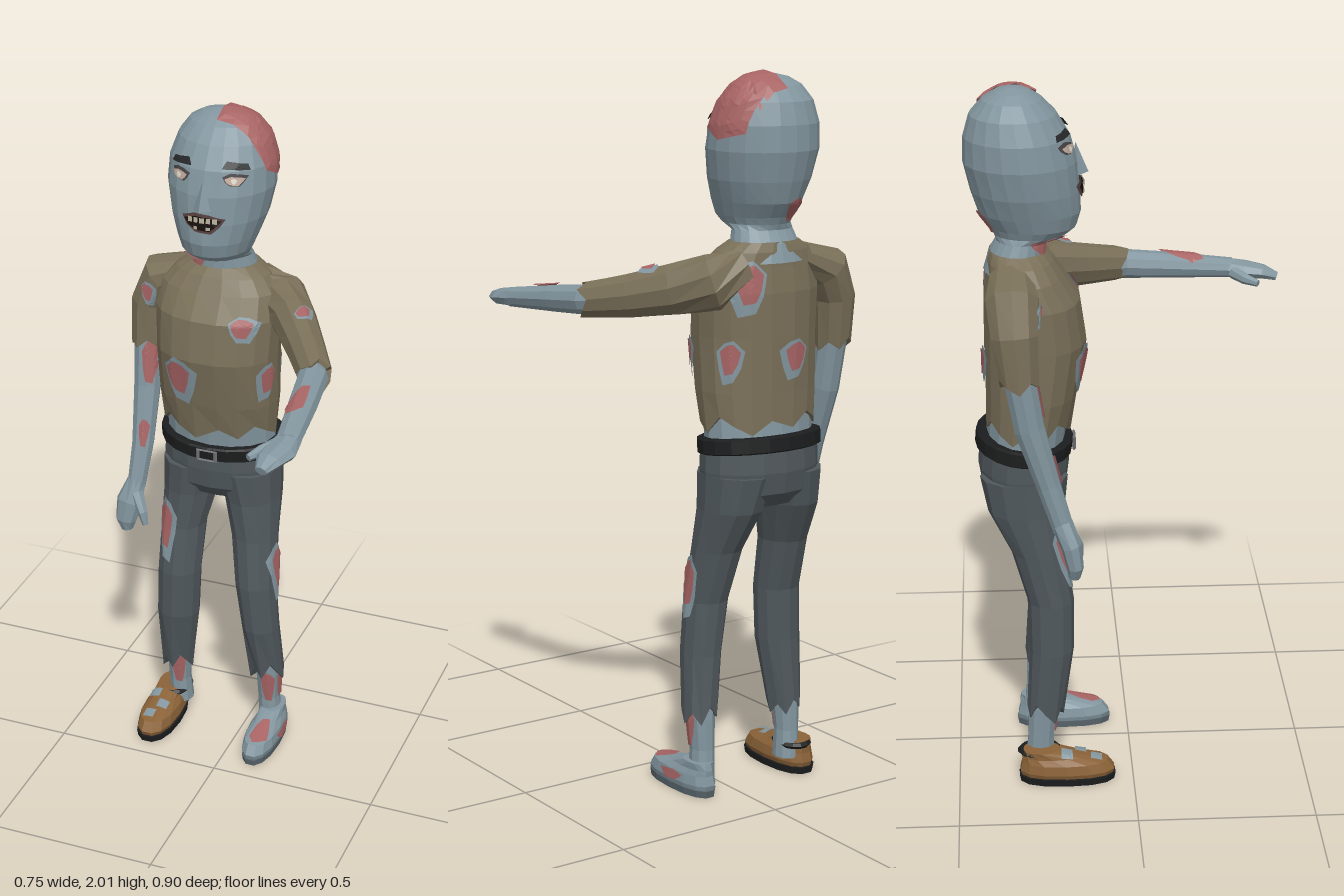
import * as THREE from 'three';

const SKIN = 0x83969f, SHIRT = 0x7a7059, PANTS = 0x50585c, BLACK = 0x1c1d1e, RED = 0xa86464, SHOE = 0x8a6238;
const V = (x, y, z) => new THREE.Vector3(x, y, z);
const group = (name, ...kids) => { const g = new THREE.Group(); g.name = name; g.add(...kids); return g; };

function mesh(name, color, geometry) {
  const m = new THREE.Mesh(geometry, new THREE.MeshStandardMaterial({ color, flatShading: true, side: THREE.DoubleSide }));
  m.name = name;
  return m;
}

function fromTriangles(points, index) {
  const g = new THREE.BufferGeometry().setFromPoints(points);
  g.setIndex(index);
  const flat = g.toNonIndexed();
  flat.computeVertexNormals();
  return flat;
}

// Skin over elliptical rings [x, y, z, halfWidth, halfDepth].
// bend: rings follow the path; rag: ragged hem on the first (1) or last (-1) ring.
function loft(name, color, rings, { n = 12, bend = false, rag = 0, end = 1, power = 1 } = {}) {
  const pts = [], idx = [], c = rings.map(r => V(r[0], r[1], r[2]));
  const last = rings.length - 1;
  rings.forEach((r, i) => {
    const T = bend ? c[Math.min(i + 1, last)].clone().sub(c[Math.max(i - 1, 0)]).normalize() : V(0, 1, 0);
    const D = V(1, 0, 0).cross(T).normalize(), S = T.clone().cross(D);
    const ragged = i === (end > 0 ? 0 : last) ? rag : 0;
    for (let j = 0; j < n; j++) {
      const t = j / n * Math.PI * 2, co = Math.cos(t), si = Math.sin(t);
      const sup = v => Math.sign(v) * Math.abs(v) ** power;
      pts.push(c[i].clone().addScaledVector(S, r[3] * sup(co)).addScaledVector(D, r[4] * sup(si))
        .addScaledVector(T, ragged * ((j * 7 % 5) / 2 - 1)));
    }
  });
  for (let i = 0; i < last; i++) for (let j = 0; j < n; j++) {
    const k = (j + 1) % n, a = i * n + j, b = i * n + k;
    idx.push(a, a + n, b + n, a, b + n, b);
  }
  pts.push(c[0], c[last]);
  for (let j = 0; j < n; j++) {
    const k = (j + 1) % n;
    idx.push(pts.length - 2, j, k, pts.length - 1, last * n + k, last * n + j);
  }
  return mesh(name, color, fromTriangles(pts, idx));
}

// Projection directions: outline (a, b) -> ray start, ray direction
const VIEWS = {
  front: [(a, b) => V(a, b, 3), V(0, 0, -1)], back: [(a, b) => V(a, b, -3), V(0, 0, 1)],
  left: [(a, b) => V(3, b, a), V(-1, 0, 0)], right: [(a, b) => V(-3, b, a), V(1, 0, 0)],
  top: [(a, b) => V(a, 3, b), V(0, -1, 0)],
};

// Thin patch of an outline laid on the surface of a mesh
function decal(name, color, target, view, outline, lift = 0.003) {
  const [start, dir] = VIEWS[view], ray = new THREE.Raycaster();
  const edge = [], cx = outline.reduce((s, p) => s + p[0], 0) / outline.length, cy = outline.reduce((s, p) => s + p[1], 0) / outline.length;
  outline.forEach((p, i) => {
    const q = outline[(i + 1) % outline.length];
    for (let k = 0; k < 3; k++) edge.push([p[0] + (q[0] - p[0]) * k / 3, p[1] + (q[1] - p[1]) * k / 3]);
  });
  const R = 4, n = edge.length, pts = [], hit = [], idx = [];
  for (let r = 0; r <= R; r++) for (const [a, b] of edge) {
    ray.set(start(cx + (a - cx) * r / R, cy + (b - cy) * r / R), dir);
    const h = ray.intersectObject(target)[0];
    hit.push(!!h);
    pts.push(h ? h.point.clone().addScaledVector(dir, -lift).addScaledVector(h.face.normal, h.face.normal.dot(dir) < 0 ? lift : -lift) : V(0, 0, 0));
  }
  const tri = (a, b, c) => {
    if (!(hit[a] && hit[b] && hit[c])) return;
    const nrm = pts[b].clone().sub(pts[a]).cross(pts[c].clone().sub(pts[a]));
    nrm.dot(dir) < 0 ? idx.push(a, b, c) : idx.push(a, c, b);
  };
  for (let r = 0; r < R; r++) for (let j = 0; j < n; j++) {
    const k = (j + 1) % n, a = r * n + j, b = r * n + k;
    if (r > 0) tri(a, b, b + n);
    tri(a, a + n, b + n);
  }
  return mesh(name, color, fromTriangles(pts, idx));
}

const rect = (x0, x1, y0, y1) => [[x0, y0], [x1, y0], [x1, y1], [x0, y1]];
const blob = (x, y, rx, ry) => Array.from({ length: 8 }, (_, i) => {
  const t = (i + 0.5) / 8 * Math.PI * 2, k = 1.08 - 0.13 * (i * 5 % 3);
  return [x + rx * k * Math.cos(t), y + ry * k * Math.sin(t)];
});

export function createModel() {
  const model = new THREE.Group();
  const wound = (target, view, x, y, rx, ry, torn = true) => {
    if (torn) model.add(decal('tornHole', SKIN, target, view, blob(x, y, rx, ry)));
    const s = torn ? 0.7 : 1;
    model.add(decal('wound', RED, target, view, blob(x - rx * 0.1, y + ry * 0.12, rx * s, ry * s), torn ? 0.005 : 0.003));
  };

  // Head and neck: [y, half width, front z, back z]
  const head = loft('head', SKIN, [
    [1.50, .13, -.21, -.40], [1.55, .10, -.23, -.385], [1.585, .09, -.23, -.365], [1.60, .09, -.17, -.37],
    [1.62, .10, -.145, -.38], [1.66, .115, -.133, -.41], [1.72, .137, -.135, -.43], [1.80, .153, -.142, -.449],
    [1.87, .15, -.16, -.447], [1.93, .13, -.195, -.43], [1.97, .10, -.235, -.395], [1.99, .065, -.265, -.36], [2, .02, -.3, -.33],
  ].map(([y, a, f, b]) => [-.09, y, (f + b) / 2, a, (f - b) / 2]), { n: 20 });
  model.add(head);
  const face = group('face');
  for (const s of [-1, 1]) {
    const x = -.087 + s * .077;
    face.add(decal('eyelid', 0x4a4648, head, 'front', blob(x, 1.85, .031, .019), .002));
    face.add(decal('eye', 0xc4ac9e, head, 'front', blob(x, 1.848, .025, .013), .005));
    face.add(decal('pupil', 0xe0dcd0, head, 'front', blob(x, 1.848, .008, .008), .007));
    face.add(decal('eyebrow', 0x26282a, head, 'front',
      [[x - s * .034, 1.878], [x + s * .034, 1.872], [x + s * .025, 1.888], [x - s * .025, 1.897]], .005));
  }
  const nose = mesh('nose', SKIN, new THREE.ConeGeometry(.026, .085, 4));
  nose.position.set(-.09, 1.805, -.142);
  nose.rotation.x = -.1;
  face.add(nose);
  face.add(decal('lips', 0x57403f, head, 'front', blob(-.088, 1.728, .062, .031)));
  face.add(decal('mouth', 0x17100f, head, 'front', blob(-.088, 1.728, .052, .022), .005));
  for (let i = 0; i < 5; i++) {
    const x = -.126 + i * .017;
    face.add(decal('upperTooth', 0xb9b09c, head, 'front', rect(x, x + .012, 1.73, 1.745), .007));
    if (i % 2) face.add(decal('lowerTooth', 0xb9b09c, head, 'front', rect(x, x + .012, 1.711, 1.72), .007));
  }
  model.add(face);
  model.add(decal('scalpWoundTop', RED, head, 'top', rect(-.09, .045, -.405, -.25), .004));
  model.add(decal('scalpWoundSide', RED, head, 'left', [[-.25, 1.86], [-.31, 1.83], [-.39, 1.85], [-.40, 1.94], [-.33, 1.975], [-.25, 1.96]], .004));
  wound(head, 'front', -.14, 1.578, .035, .03, false);
  wound(head, 'back', -.12, 1.64, .03, .035, false);

  // Torso, shirt, belt
  const z0 = -.297;
  model.add(loft('waist', SKIN, [[-.087, .97, z0, .165, .11], [-.088, 1.15, -.278, .166, .112]], { n: 16 }));
  const shirt = loft('shirt', SHIRT, [
    [-.088, 1.06, -.285, .17, .118], [-.088, 1.15, -.275, .178, .127], [-.088, 1.3, -.262, .18, .142],
    [-.088, 1.42, -.27, .185, .133], [-.088, 1.49, -.288, .175, .105], [-.088, 1.53, -.3, .14, .09], [-.088, 1.555, -.308, .1, .075],
  ], { n: 18, rag: .025, power: .9 });
  model.add(shirt);
  wound(shirt, 'front', .025, 1.41, .042, .04);
  wound(shirt, 'front', -.155, 1.235, .055, .08);
  wound(shirt, 'left', -.205, 1.24, .032, .065);
  wound(shirt, 'left', -.352, 1.24, .027, .065);
  wound(shirt, 'back', .02, 1.44, .055, .08);
  wound(shirt, 'back', -.12, 1.24, .05, .06);
  const belt = loft('belt', BLACK, [[0, -.022, 0, .182, .13], [0, -.018, 0, .188, .136], [0, .018, 0, .188, .136], [0, .022, 0, .18, .13]], { n: 20 });
  belt.position.set(-.086, 1, z0);
  belt.rotation.x = .09;
  const buckle = mesh('buckle', 0x6d7072, new THREE.TorusGeometry(.024, .005, 4, 4, Math.PI * 2).rotateZ(Math.PI / 4));
  buckle.scale.set(1.6, .9, 1);
  buckle.position.set(-.086, .988, -.158);
  model.add(belt, buckle);

  // Trousers
  model.add(loft('trouserSeat', PANTS, [[-.085, .83, -.297, .16, .085], [-.085, .87, -.298, .176, .118], [-.085, .93, -.299, .181, .127], [-.086, 1, z0, .178, .125]], { n: 16 }));
  const rightLeg = loft('rightTrouserLeg', PANTS, [
    [-.215, .21, -.25, .047, .052], [-.205, .4, -.23, .065, .063], [-.2, .55, -.23, .066, .065],
    [-.197, .7, -.262, .068, .076], [-.182, .82, -.295, .082, .106], [-.17, .92, -.3, .095, .122]], { rag: .03 });
  const leftLeg = loft('leftTrouserLeg', PANTS, [
    [.078, .24, -.25, .052, .052], [.062, .4, -.23, .056, .063], [.045, .55, -.23, .062, .065],
    [.03, .7, -.262, .07, .076], [.012, .82, -.295, .084, .106], [-.005, .92, -.3, .1, .122]], { rag: .035 });
  model.add(rightLeg, leftLeg);
  wound(rightLeg, 'front', -.222, .7, .032, .11);
  wound(leftLeg, 'left', -.235, .6, .035, .1);

  // Shins and feet
  for (const [side, x, top] of [['right', -.215, -.21], ['left', .08, .066]]) {
    const shin = loft(side + 'Shin', SKIN, [[x + .005, .05, -.268, .035, .042], [x, .13, -.264, .033, .038], [x, .22, -.258, .038, .042], [top, .38, -.24, .045, .045]], { n: 10 });
    model.add(shin);
    wound(shin, 'front', x + .012, .18, .02, .06, false);
    if (side === 'left') wound(shin, 'left', -.255, .19, .022, .06, false);
  }
  const foot = (name, color, x, w, y) => loft(name, color, [
    [x, y, -.19, w * .9, .132], [x, .035, -.19, w, .138], [x, .062, -.197, w * .92, .125], [x, .078, -.232, w * .72, .09], [x, .098, -.266, w * .68, .05]], { n: 14, power: .85 });
  const shoe = foot('rightShoe', SHOE, -.245, .058, .018), bare = foot('leftFoot', SKIN, .095, .051, .015);
  const sole = (name, color, x, w) => loft(name, color, [[x, .002, -.19, w, .137], [x, .022, -.19, w * 1.04, .141]], { n: 14, power: .85 });
  model.add(shoe, bare, sole('rightSole', BLACK, -.245, .058), sole('leftSole', 0x59666d, .095, .047));
  const collar = mesh('shoeCollar', BLACK, new THREE.TorusGeometry(.043, .009, 5, 14).rotateX(Math.PI / 2));
  collar.scale.z = 1.25;
  collar.position.set(-.232, .088, -.268);
  model.add(collar);
  for (const [x, z] of [[-.268, -.19], [-.23, -.15], [-.255, -.105]])
    model.add(decal('shoeHole', SKIN, shoe, 'top', rect(x - .016, x + .016, z - .018, z + .014)));
  wound(bare, 'top', .105, -.135, .027, .055, false);
  wound(bare, 'left', -.2, .048, .05, .015, false);

  // Hanging right arm
  const rightSleeve = loft('rightSleeve', SHIRT, [[-.328, 1.25, -.31, .049, .055], [-.322, 1.38, -.32, .056, .066], [-.285, 1.465, -.325, .065, .074], [-.19, 1.505, -.325, .04, .06]], { n: 10, bend: true, rag: .02 });
  const rightArm = loft('rightForearm', SKIN, [[-.325, .82, -.195, .027, .03], [-.318, .95, -.235, .033, .034], [-.322, 1.12, -.285, .04, .043], [-.328, 1.3, -.315, .042, .045]], { n: 10, bend: true });
  model.add(rightSleeve, rightArm, group('rightHand',
    loft('rightPalm', SKIN, [[-.345, .685, -.168, .018, .016], [-.348, .715, -.165, .032, .023], [-.338, .775, -.175, .042, .029], [-.325, .84, -.2, .028, .03]], { n: 8, bend: true }),
    loft('rightThumb', SKIN, [[-.278, .72, -.15, .009, .01], [-.288, .755, -.155, .015, .016], [-.318, .805, -.18, .022, .022]], { n: 7, bend: true })));
  wound(rightArm, 'front', -.302, 1.2, .022, .07, false);
  wound(rightArm, 'front', -.305, .99, .014, .045, false);
  wound(rightSleeve, 'front', -.3, 1.43, .025, .04);

  // Raised left arm
  const leftSleeve = loft('leftSleeve', SHIRT, [[.0, 1.485, -.335, .06, .06], [.085, 1.452, -.315, .075, .078], [.15, 1.43, -.235, .064, .072], [.22, 1.405, -.13, .056, .062], [.29, 1.385, -.015, .05, .05]], { n: 10, bend: true, rag: .02, end: -1 });
  const leftArm = loft('leftForearm', SKIN, [[.25, 1.39, -.08, .042, .042], [.288, 1.383, .0, .043, .042], [.305, 1.372, .12, .041, .038], [.33, 1.352, .32, .034, .028]], { n: 10, bend: true });
  model.add(leftSleeve, leftArm, group('leftHand',
    loft('leftPalm', SKIN, [[.33, 1.354, .3, .034, .028], [.325, 1.347, .36, .046, .025], [.312, 1.343, .41, .038, .02], [.305, 1.33, .45, .018, .013]], { n: 8, bend: true }),
    loft('leftThumb', SKIN, [[.305, 1.345, .325, .022, .02], [.27, 1.335, .355, .016, .016], [.247, 1.328, .39, .01, .01]], { n: 7, bend: true })));
  wound(leftSleeve, 'top', .198, -.18, .026, .036);
  wound(leftArm, 'top', .308, .165, .024, .07, false);
  return model;
}
